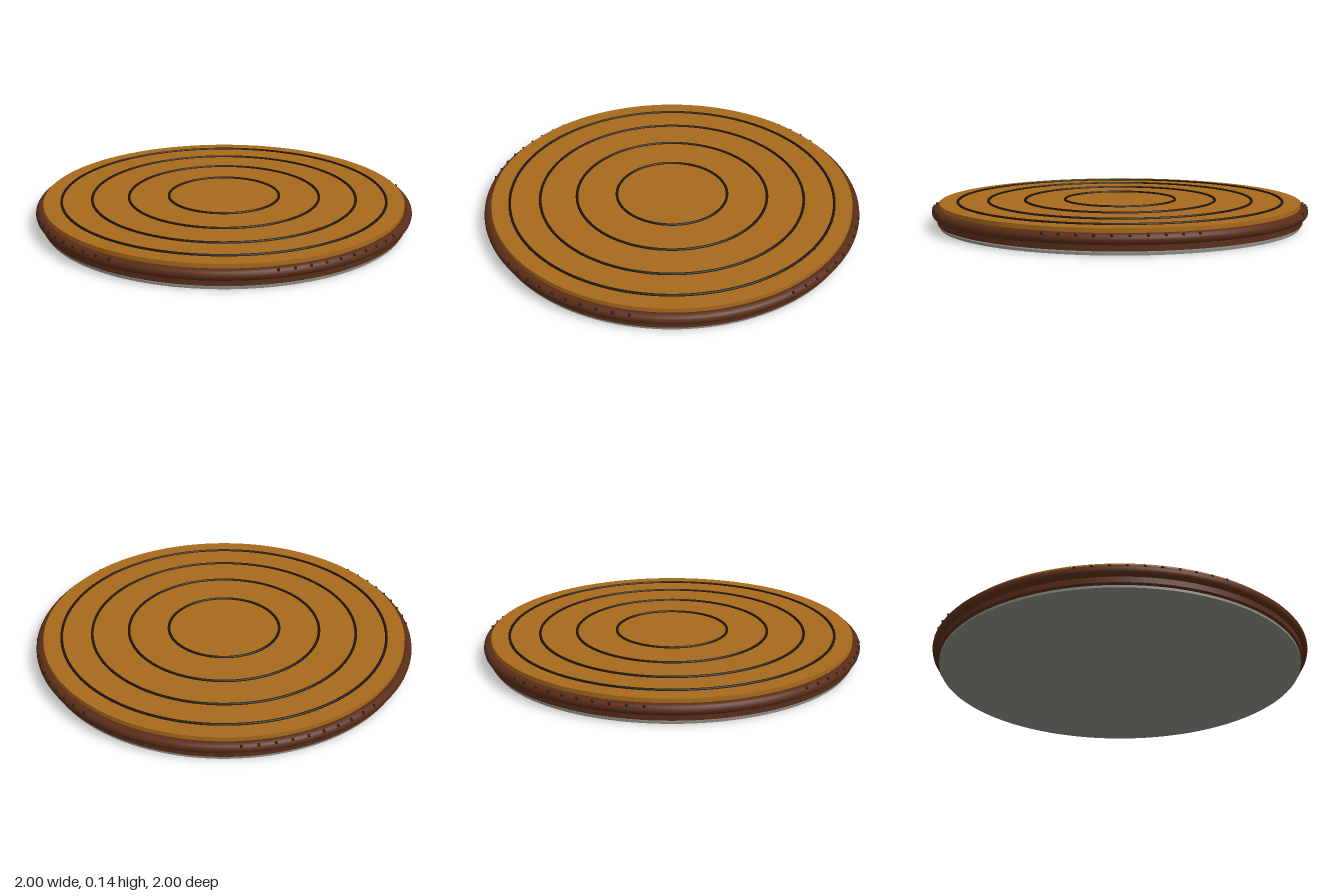
import * as THREE from 'three';

const mat = (color) => new THREE.MeshStandardMaterial({ color });

export function createModel() {
  const model = new THREE.Group();
  const wood = mat(0xa86a1c), rimBrown = mat(0x5a2d18), dark = mat(0x20140c), grey = mat(0x8a8a84);

  const add = (name, geometry, material, y, parent = model) => {
    const mesh = new THREE.Mesh(geometry, material);
    mesh.name = name;
    mesh.position.y = y;
    parent.add(mesh);
    return mesh;
  };
  const disc = (name, radius, bottom, top, material) =>
    add(name, new THREE.CylinderGeometry(radius, radius, top - bottom, 128), material, (bottom + top) / 2);
  const ring = (name, radius, tube, y, material, parent) =>
    add(name, new THREE.TorusGeometry(radius, tube, 16, 128).rotateX(Math.PI / 2), material, y, parent);

  // Stacked discs: thin foot plate, brown body, wooden top
  disc('footPlate', 0.96, 0, 0.013, grey);
  disc('body', 0.972, 0.021, 0.085, rimBrown);
  disc('woodenTop', 0.96, 0.085, 0.126, wood);

  // Rounded rim
  ring('rim', 0.972, 0.028, 0.078, rimBrown);

  // Concentric dark rings on the top
  const rings = new THREE.Group();
  rings.name = 'topRings';
  model.add(rings);
  for (const r of [0.295, 0.508, 0.703, 0.864]) ring('topRing', r, 0.007, 0.128, dark, rings);

  // Four groups of small studs along the rim
  const studs = new THREE.Group();
  studs.name = 'rimStuds';
  model.add(studs);
  const studGeometry = new THREE.SphereGeometry(0.008, 10, 8);
  for (let side = 0; side < 4; side++) {
    for (let i = 0; i < 10; i++) {
      const a = side * Math.PI / 2 + THREE.MathUtils.degToRad(26 + i * 4.75);
      const stud = add('stud', studGeometry, dark, 0.097, studs);
      stud.position.x = Math.sin(a) * 0.991;
      stud.position.z = Math.cos(a) * 0.991;
    }
  }
  return model;
}
